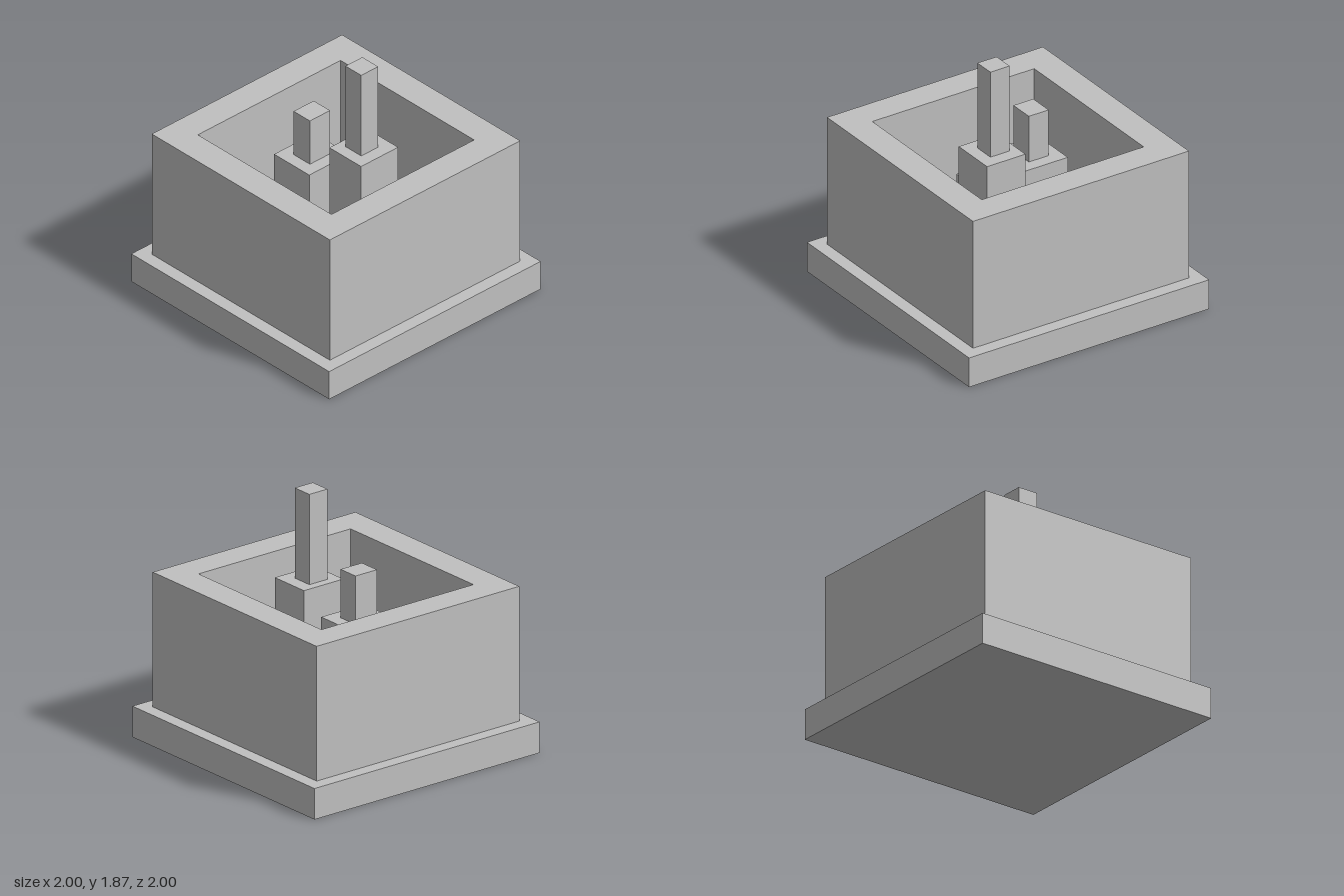
import * as THREE from 'three';

export function createModel() {
  const model = new THREE.Group();
  const stone = new THREE.MeshStandardMaterial({ color: 0xc0c0c0 });
  stone.name = 'grey stone';

  // Box given by its limits on each axis
  function block(name, [x0, x1], [y0, y1], [z0, z1]) {
    const mesh = new THREE.Mesh(new THREE.BoxGeometry(x1 - x0, y1 - y0, z1 - z0), stone);
    mesh.name = name;
    mesh.position.set((x0 + x1) / 2, (y0 + y1) / 2, (z0 + z1) / 2);
    model.add(mesh);
  }

  const baseTop = 0.23, wallTop = 1.23, floorTop = 0.36;

  // Square plinth
  block('base', [-1, 1], [0, baseTop], [-1, 1]);

  // Square enclosure, open at the top
  const square = (Path, r) => new Path([[-r, -r], [r, -r], [r, r], [-r, r]].map(([x, y]) => new THREE.Vector2(x, y)));
  const ring = square(THREE.Shape, 0.9);
  ring.holes.push(square(THREE.Path, 0.675));
  const wallGeometry = new THREE.ExtrudeGeometry(ring, { depth: wallTop - baseTop, bevelEnabled: false });
  wallGeometry.rotateX(-Math.PI / 2);
  const walls = new THREE.Mesh(wallGeometry, stone);
  walls.name = 'walls';
  walls.position.y = baseTop;
  model.add(walls);

  // Raised floor inside the enclosure
  block('innerPlatform', [-0.545, 0.545], [baseTop, floorTop], [-0.545, 0.545]);

  // Tall stepped tower
  block('tallTowerBase', [0.03, 0.35], [floorTop, 1.2], [-0.26, 0.09]);
  block('tallTowerShaft', [0.095, 0.255], [1.2, 1.87], [-0.16, 0]);

  // Short stepped tower
  block('shortTowerBase', [-0.39, -0.035], [floorTop, 1.0], [-0.16, 0.22]);
  block('shortTowerShaft', [-0.295, -0.13], [1.0, 1.36], [-0.065, 0.125]);

  // Low plain block
  block('lowBlock', [-0.16, 0.125], [floorTop, 0.75], [0.195, 0.45]);

  return model;
}
